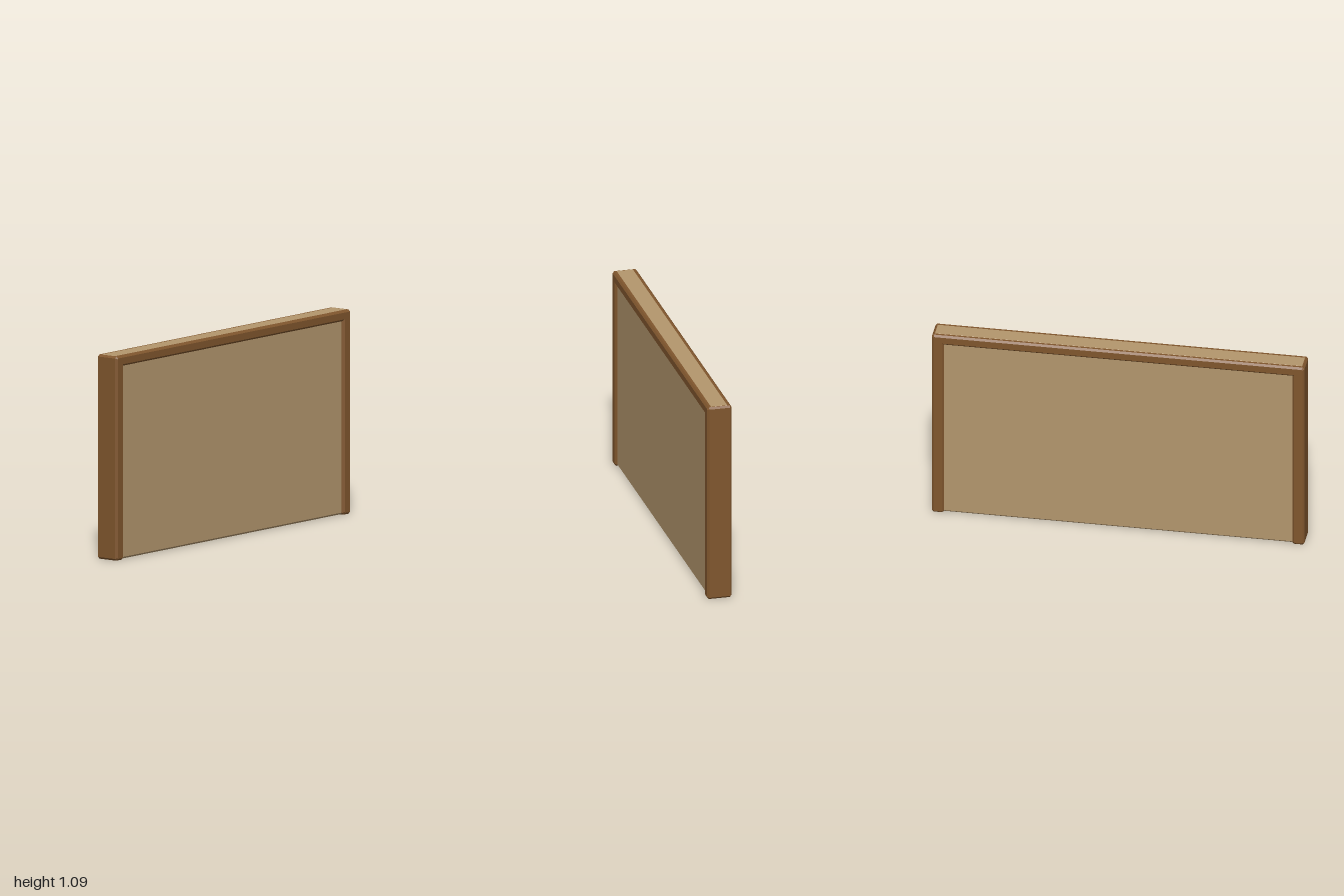
import * as THREE from 'three';

const C = 0.01; // chamfer width

// Extrudes an outline in z, centred, with chamfered front and back edges.
// The outline is given already inset by the chamfer width.
function chamferedSlab(points, depth, material, name) {
  const shape = new THREE.Shape(points.map(([x, y]) => new THREE.Vector2(x, y)));
  const geometry = new THREE.ExtrudeGeometry(shape, {
    depth: depth - 2 * C,
    bevelEnabled: true,
    bevelThickness: C,
    bevelSize: C,
    bevelOffset: -C,
    bevelSegments: 1,
  });
  geometry.translate(0, 0, -depth / 2 + C);
  const mesh = new THREE.Mesh(geometry, material);
  mesh.name = name;
  return mesh;
}

// Mirrors the right half of an outline (bottom to top) to the left.
const mirrored = (half) => [...half, ...half.map(([x, y]) => [-x, y]).reverse()];

export function createModel() {
  const wood = new THREE.MeshStandardMaterial({ color: 0x80562d });
  wood.name = 'brown wood';
  const plaster = new THREE.MeshStandardMaterial({ color: 0xb3966d });
  plaster.name = 'beige plaster';

  const group = new THREE.Group();
  group.name = 'framedWall';
  const H = 1.094;

  // Two posts joined by a top beam, open at the bottom
  const frame = mirrored([
    [0.935, 1.038], [0.935, C], [0.935 + C, 0], [1 - C, 0],
    [1, C], [1, H - C], [1 - C, H],
  ]);
  // The mirrored list closes across the underside of the beam
  group.add(chamferedSlab(frame, 0.134, wood, 'frame'));

  // Wall panel filling the frame, showing along the top and bottom
  const panel = mirrored([
    [0.985, 0.002], [0.995, 0.012], [0.995, H - C], [0.985, H + 0.0006],
  ]);
  group.add(chamferedSlab(panel, 0.108, plaster, 'wallPanel'));

  return group;
}
